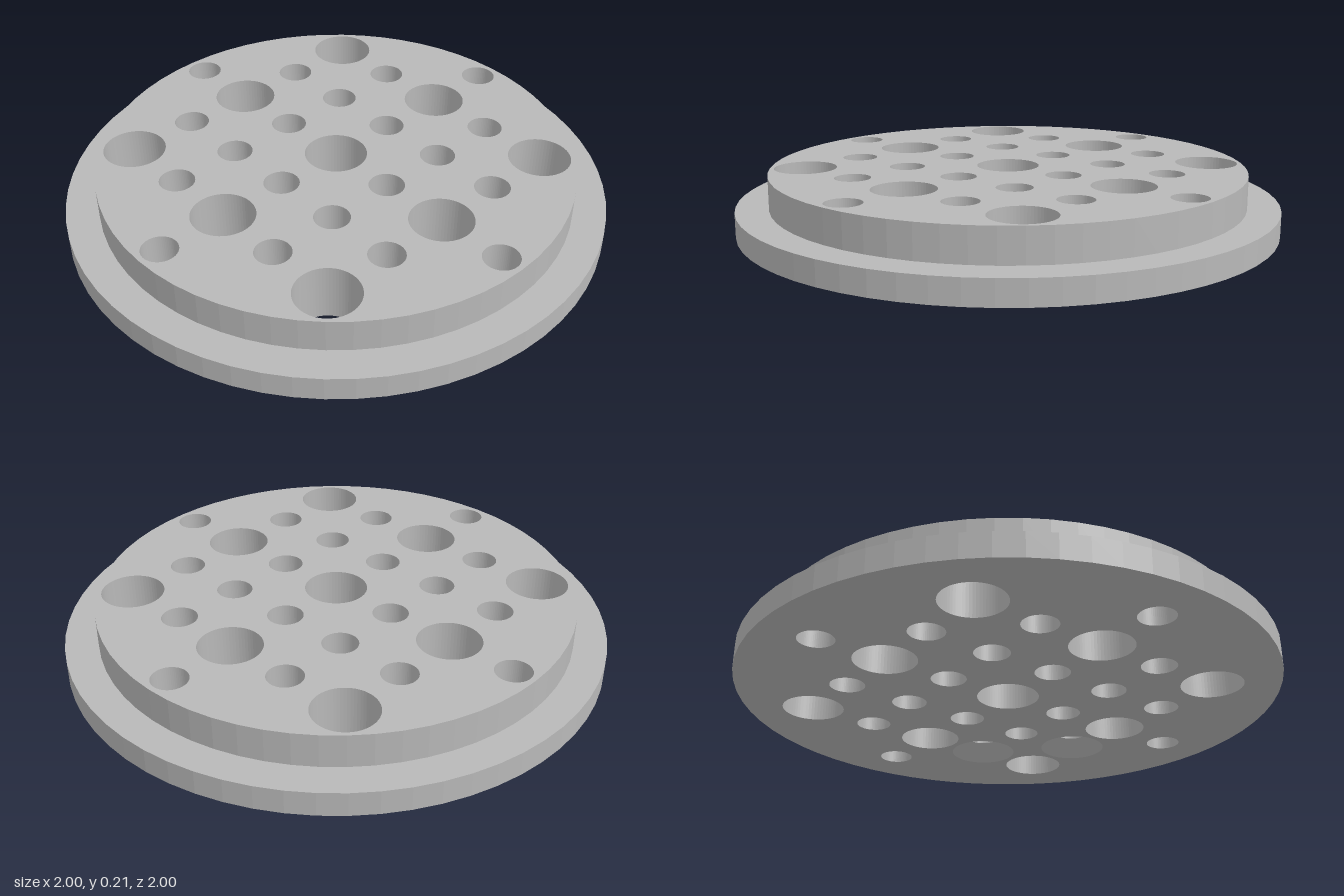
import * as THREE from 'three';

const SIDES = 64;
const BASE_R = 1, RIM_R = 0.88;        // flange and raised disc radii
const LEDGE_Y = 0.09, TOP_Y = 0.213;   // flange top and overall height
const BIG_R = 0.115, SMALL_R = 0.065;
const SINK_R = 0.128, SINK_DEPTH = 0.065;
const STEP = 0.1875;                   // spacing of the hole grid

// All holes as { x, z, r, sunk }, placed on a square grid
function holeList() {
  const holes = [];
  const add = (i, j, r) => holes.push({
    x: i * STEP, z: j * STEP, r, sunk: i === 3 && Math.abs(j) === 1,
  });
  for (const i of [-3, -1, 1, 3]) for (const j of [-3, -1, 1, 3]) add(i, j, SMALL_R);
  for (const s of [-2, 2]) {
    add(s, 0, SMALL_R);
    add(0, s, SMALL_R);
    add(2 * s, 0, BIG_R);
    add(0, 2 * s, BIG_R);
    add(s, s, BIG_R);
    add(s, -s, BIG_R);
  }
  add(0, 0, BIG_R);
  return holes;
}

// Flat disc pierced by the holes, facing up or down
function piercedDisc(radius, holes, radiusOf, up) {
  const shape = new THREE.Shape();
  shape.absarc(0, 0, radius, 0, Math.PI * 2);
  for (const h of holes) {
    const path = new THREE.Path();
    path.absarc(h.x, up ? -h.z : h.z, radiusOf(h), 0, Math.PI * 2, true);
    shape.holes.push(path);
  }
  return new THREE.ShapeGeometry(shape, SIDES / 2).rotateX(up ? -Math.PI / 2 : Math.PI / 2);
}

// Faceted turned surface: profiles going up face outward, going down face inward
function turned(profile) {
  const points = profile.map(([r, y]) => new THREE.Vector2(r, y));
  const geometry = new THREE.LatheGeometry(points, SIDES).toNonIndexed();
  geometry.computeVertexNormals();
  return geometry;
}

export function createModel() {
  const model = new THREE.Group();
  model.name = 'perforatedPlate';
  const metal = new THREE.MeshStandardMaterial({ color: 0xb8b8b8 });
  metal.name = 'light grey';
  const holes = holeList();

  const addMesh = (name, geometry, x = 0, z = 0) => {
    const mesh = new THREE.Mesh(geometry, metal);
    mesh.name = name;
    mesh.position.set(x, 0, z);
    model.add(mesh);
    return mesh;
  };

  // Stepped outer wall: flange, ledge and raised disc side
  addMesh('steppedRim', turned([
    [BASE_R, 0], [BASE_R, LEDGE_Y], [RIM_R, LEDGE_Y], [RIM_R, TOP_Y],
  ]));

  // Top and bottom faces
  addMesh('topFace', piercedDisc(RIM_R, holes, (h) => h.r, true)).position.y = TOP_Y;
  addMesh('bottomFace', piercedDisc(BASE_R, holes, (h) => (h.sunk ? SINK_R : h.r), false));

  // Hole walls, two of them countersunk from below
  const bigBore = turned([[BIG_R, TOP_Y], [BIG_R, 0]]);
  const smallBore = turned([[SMALL_R, TOP_Y], [SMALL_R, 0]]);
  const sunkBore = turned([[SMALL_R, TOP_Y], [SMALL_R, SINK_DEPTH], [SINK_R, 0]]);
  for (const h of holes) {
    if (h.sunk) addMesh('countersunkHole', sunkBore, h.x, h.z);
    else if (h.r === BIG_R) addMesh('largeHole', bigBore, h.x, h.z);
    else addMesh('smallHole', smallBore, h.x, h.z);
  }
  return model;
}
